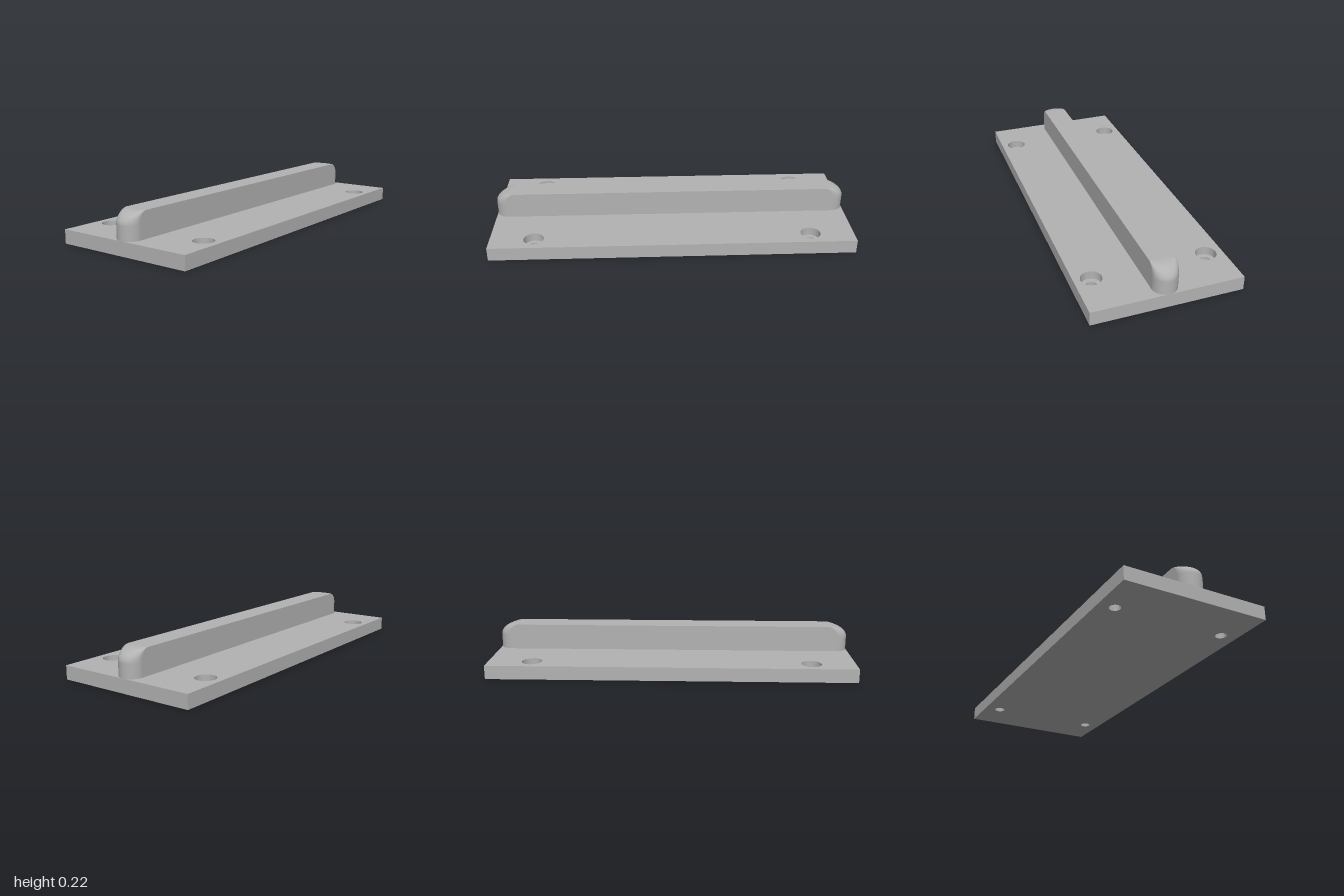
import * as THREE from 'three';
import { toCreasedNormals } from 'three/addons/utils/BufferGeometryUtils.js';

const LENGTH = 2, DEPTH = 0.8, THICK = 0.075;
const BORE = 0.055, DRILL = 0.03, BORE_FLOOR = 0.03;
const HOLES = [[-0.76, -0.31], [0.76, -0.31], [-0.76, 0.31], [0.76, 0.31]];

// Plate face pierced by four round holes, lying in the xz plane
function piercedFace(radius, up) {
  const shape = new THREE.Shape();
  const x = LENGTH / 2, z = DEPTH / 2;
  shape.moveTo(-x, -z).lineTo(x, -z).lineTo(x, z).lineTo(-x, z).closePath();
  for (const [hx, hz] of HOLES) {
    shape.holes.push(new THREE.Path().absarc(hx, hz, radius, 0, Math.PI * 2, true));
  }
  return new THREE.ShapeGeometry(shape, 24).rotateX(up ? -Math.PI / 2 : Math.PI / 2);
}

// Upright bar with round ends that curve inward towards the flat top
function barGeometry() {
  const half = 0.067, bend = 0.15, top = 0.217, arc = 16, steps = 10;
  const pos = [], index = [];
  const rings = [[THICK, 1], [bend, 1]];
  for (let k = 1; k <= steps; k++) {
    const a = (k / steps) * Math.PI / 2;
    rings.push([bend + (top - bend) * Math.sin(a), Math.cos(a)]);
  }
  const addRing = ([y, f]) => {
    const start = 0.89 + 0.043 * f, tip = 0.9 + 0.1 * f;
    for (const side of [1, -1]) {
      for (let i = 0; i <= arc; i++) {
        const a = -Math.PI / 2 + (i / arc) * Math.PI;
        pos.push(side * (start + (tip - start) * Math.cos(a)), y, side * half * Math.sin(a));
      }
    }
  };
  rings.forEach(addRing);
  const n = 2 * (arc + 1);
  for (let j = 0; j < rings.length - 1; j++) {
    for (let i = 0; i < n; i++) {
      const a = j * n + i, b = j * n + (i + 1) % n;
      index.push(a, a + n, b, b, a + n, b + n);
    }
  }
  // flat top, with its own vertices for a sharp long edge
  const base = pos.length / 3;
  addRing(rings[rings.length - 1]);
  pos.push(0, top, 0);
  for (let i = 0; i < n; i++) index.push(base + n, base + (i + 1) % n, base + i);
  const g = new THREE.BufferGeometry();
  g.setAttribute('position', new THREE.Float32BufferAttribute(pos, 3));
  g.setIndex(index);
  g.computeVertexNormals();
  return g;
}

export function createModel() {
  const model = new THREE.Group();
  model.name = 'mountingPlateWithBar';
  const grey = new THREE.MeshStandardMaterial({ color: 0xb2b2b2 });
  grey.name = 'plain grey';

  const add = (parent, name, geometry) => {
    const mesh = new THREE.Mesh(geometry, grey);
    mesh.name = name;
    parent.add(mesh);
    return mesh;
  };

  // Base plate: top, underside and four edges
  const plate = new THREE.Group();
  plate.name = 'basePlate';
  model.add(plate);
  add(plate, 'plateTop', piercedFace(BORE, true)).position.y = THICK;
  add(plate, 'plateUnderside', piercedFace(DRILL, false));
  for (let i = 0; i < 4; i++) {
    const [w, d] = i % 2 ? [DEPTH, LENGTH] : [LENGTH, DEPTH];
    const edge = new THREE.PlaneGeometry(w, THICK).translate(0, THICK / 2, d / 2);
    add(plate, 'plateEdge', edge.rotateY(i * Math.PI / 2));
  }

  // Counterbored screw holes
  const profile = [[BORE, THICK], [BORE, BORE_FLOOR], [DRILL, BORE_FLOOR], [DRILL, 0]]
    .map(([r, y]) => new THREE.Vector2(r, y));
  const hole = toCreasedNormals(new THREE.LatheGeometry(profile, 48), 0.6);
  for (const [x, z] of HOLES) add(plate, 'screwHole', hole).position.set(x, 0, z);

  // Raised bar along the middle
  add(model, 'raisedBar', barGeometry());
  return model;
}
